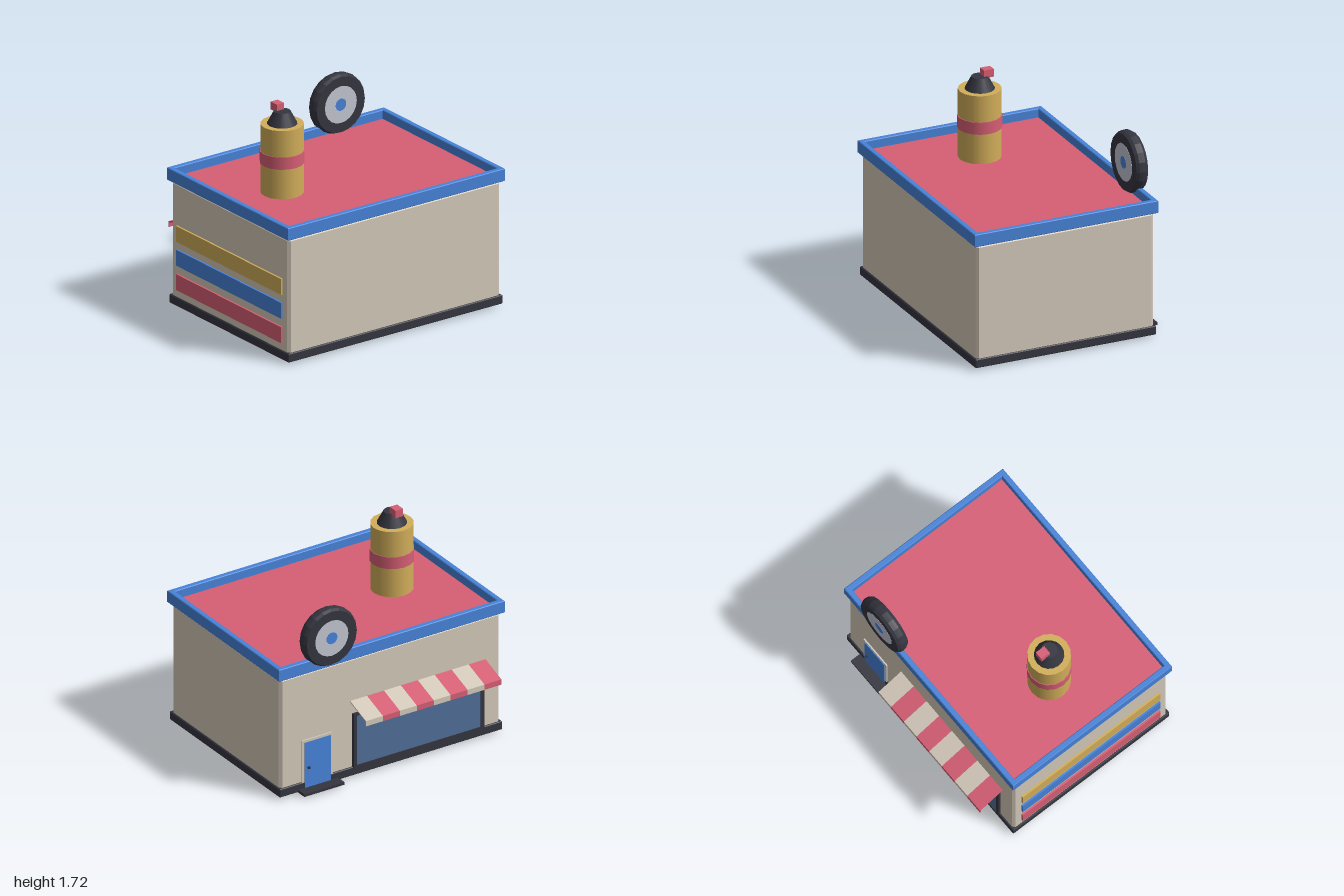
import * as THREE from 'three';
import { ConvexGeometry } from 'three/addons/geometries/ConvexGeometry.js';

const mat = (name, color, extra = {}) => {
  const m = new THREE.MeshStandardMaterial({ color, ...extra });
  m.name = name;
  return m;
};

// Box with every edge cut at 45 degrees
function chamferBox(w, h, d, c) {
  const pts = [];
  for (const sx of [-1, 1]) for (const sy of [-1, 1]) for (const sz of [-1, 1]) {
    const x = w / 2, y = h / 2, z = d / 2;
    pts.push(
      new THREE.Vector3(sx * x, sy * (y - c), sz * (z - c)),
      new THREE.Vector3(sx * (x - c), sy * y, sz * (z - c)),
      new THREE.Vector3(sx * (x - c), sy * (y - c), sz * z));
  }
  return new ConvexGeometry(pts);
}

function flat(geometry) {
  const g = geometry.toNonIndexed();
  g.computeVertexNormals();
  return g;
}

export function createModel() {
  const cream = mat('cream', 0xd4c9ba);
  const red = mat('red', 0xd75f75);
  const blue = mat('blue', 0x4783d8);
  const gold = mat('gold', 0xd2ae5a);
  const dark = mat('charcoal', 0x353540);
  const grey = mat('light grey', 0xc2c5d1);
  const glass = mat('window glass', 0x506d98);

  const model = new THREE.Group();
  model.name = 'shop';
  const group = (name, x = 0, y = 0, z = 0) => {
    const g = new THREE.Group();
    g.name = name;
    g.position.set(x, y, z);
    model.add(g);
    return g;
  };
  const add = (parent, name, geometry, material, x = 0, y = 0, z = 0) => {
    const m = new THREE.Mesh(geometry, material);
    m.name = name;
    m.position.set(x, y, z);
    parent.add(m);
    return m;
  };
  // Box given by its extents on each axis
  const box = (parent, name, material, [x0, x1], [y0, y1], [z0, z1]) =>
    add(parent, name, new THREE.BoxGeometry(x1 - x0, y1 - y0, z1 - z0), material,
      (x0 + x1) / 2, (y0 + y1) / 2, (z0 + z1) / 2);

  const CZ = 0.095; // middle of the building in z

  // Building shell
  const shell = group('building', 0, 0, CZ);
  add(shell, 'walls', chamferBox(1.95, 0.95, 1.46, 0.02), cream, 0, 0.525, 0);
  add(shell, 'plinth', chamferBox(1.974, 0.07, 1.486, 0.006), dark, 0, 0.055, 0);
  box(shell, 'roof', red, [-0.97, 0.97], [0.99, 1.03], [-0.725, 0.725]);

  // Parapet ring around the roof
  const rect = (P, w, d) => {
    const p = new P();
    p.moveTo(-w, -d);
    p.lineTo(w, -d);
    p.lineTo(w, d);
    p.lineTo(-w, d);
    p.closePath();
    return p;
  };
  const b = 0.005;
  const ring = rect(THREE.Shape, 1 - b, 0.755 - b);
  ring.holes.push(rect(THREE.Path, 0.957 + b, 0.712 + b));
  const parapet = new THREE.ExtrudeGeometry(ring, {
    depth: 0.1 - 2 * b, bevelSize: b, bevelThickness: b, bevelSegments: 1,
  });
  parapet.rotateX(-Math.PI / 2);
  add(shell, 'parapet', parapet, blue, 0, 1 + b, 0);

  // Spray can on the roof
  const can = group('sprayCan', -0.492, 0, 0.09);
  add(can, 'canBody', new THREE.CylinderGeometry(0.163, 0.163, 0.555, 16), gold, 0, 1.2975, 0);
  add(can, 'canBand', new THREE.CylinderGeometry(0.168, 0.168, 0.097, 16), red, 0, 1.3165, 0);
  add(can, 'canShoulder', new THREE.CylinderGeometry(0.063, 0.114, 0.098, 16), dark, 0, 1.623, 0);
  box(can, 'nozzle', red, [-0.033, 0.033], [1.66, 1.722], [-0.1, -0.02]);

  // Wheel standing on the back edge
  const wheel = group('wheel', 0.55, 1.25, -0.637);
  const profile = [[0.14, -0.048], [0.222, -0.048], [0.236, -0.025], [0.24, 0],
    [0.236, 0.025], [0.222, 0.048], [0.14, 0.048]].map(([r, y]) => new THREE.Vector2(r, y));
  const disc = (r, t) => new THREE.CylinderGeometry(r, r, t, 20).rotateX(Math.PI / 2);
  add(wheel, 'tyre', flat(new THREE.LatheGeometry(profile, 20).rotateX(Math.PI / 2)), dark);
  add(wheel, 'rim', disc(0.147, 0.098), grey);
  add(wheel, 'hubCap', disc(0.048, 0.102), blue);

  // Painted stripes on the right wall
  [['goldStripe', gold, 0.535, 0.662], ['blueStripe', blue, 0.345, 0.472],
    ['redStripe', red, 0.15, 0.277]].forEach(([name, m, y0, y1]) =>
    box(model, name, m, [-0.99, -0.97], [y0, y1], [-0.56, 0.75]));

  // Door with frame, handle and step
  const door = group('door');
  box(door, 'doorFrame', cream, [0.515, 0.787], [0.004, 0.437], [-0.646, -0.63]);
  box(door, 'doorLeaf', blue, [0.537, 0.765], [0.03, 0.418], [-0.652, -0.64]);
  box(door, 'doorHandle', dark, [0.725, 0.742], [0.198, 0.214], [-0.666, -0.65]);
  box(door, 'doorStep', dark, [0.47, 0.825], [0.02, 0.042], [-0.735, -0.63]);
  box(door, 'doorFoot', cream, [0.515, 0.787], [0, 0.02], [-0.646, -0.636]);

  // Shop window: dark surround around a glass pane
  const win = group('shopWindow');
  const wz = [-0.656, -0.63];
  for (const [x0, x1] of [[-0.82, -0.79], [0.306, 0.336]])
    box(win, 'windowPost', dark, [x0, x1], [0.08, 0.535], wz);
  for (const [y0, y1] of [[0.08, 0.1], [0.515, 0.535]])
    box(win, 'windowRail', dark, [-0.8, 0.32], [y0, y1], wz);
  box(win, 'windowPane', glass, [-0.8, 0.32], [0.09, 0.525], [-0.649, -0.63]);

  // Striped awning: sloping sheet with a short drop at the front
  const awning = group('awning');
  const section = new THREE.Shape([[0.635, 0.644], [0.85, 0.57], [0.85, 0.526], [0.842, 0.526],
    [0.842, 0.563], [0.635, 0.634]].map(([x, y]) => new THREE.Vector2(x, y)));
  const strip = new THREE.ExtrudeGeometry(section, { depth: 0.15, bevelEnabled: false });
  strip.rotateY(Math.PI / 2);
  for (let i = 0; i < 8; i++)
    add(awning, 'awningStripe', strip, i % 2 ? cream : red, -0.845 + i * 0.15, 0, 0);

  return model;
}
